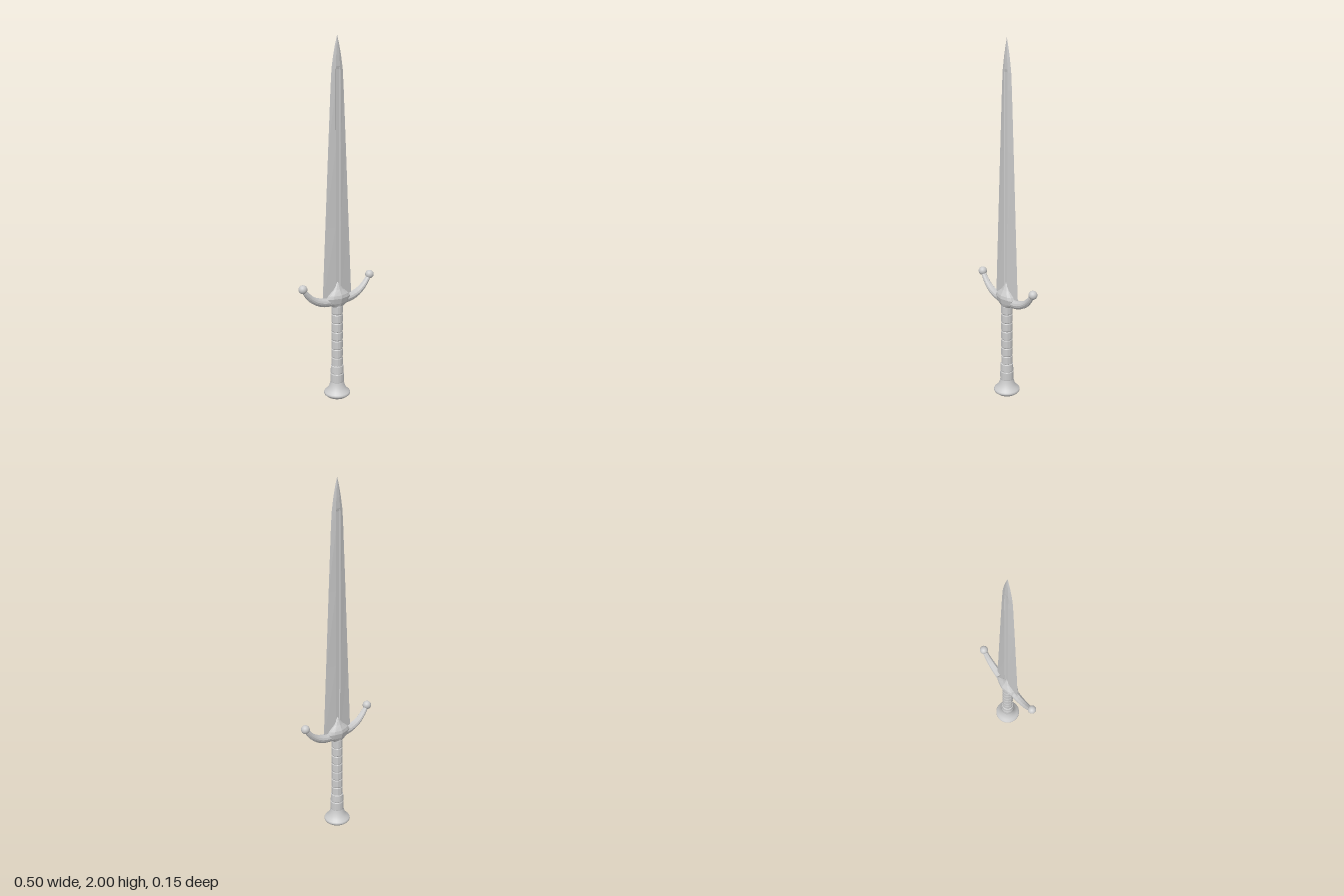
import * as THREE from 'three';

const flat = new THREE.MeshStandardMaterial({ color: 0xcccccc, flatShading: true });
const smooth = new THREE.MeshStandardMaterial({ color: 0xcccccc });

// Skin a list of equal-length rings of Vector3, closing both ends
function loft(rings) {
  const n = rings[0].length, pos = [], idx = [];
  const add = (p) => pos.push(p.x, p.y, p.z);
  rings.forEach((r) => r.forEach(add));
  for (let i = 0; i < rings.length - 1; i++) {
    for (let j = 0; j < n; j++) {
      const k = (j + 1) % n;
      const a = i * n + j, b = i * n + k, c = b + n, d = a + n;
      idx.push(a, b, c, a, c, d);
    }
  }
  [0, rings.length - 1].forEach((i) => {
    const centre = pos.length / 3;
    add(rings[i].reduce((s, p) => s.add(p), new THREE.Vector3()).divideScalar(n));
    for (let j = 0; j < n; j++) {
      const a = i * n + j, b = i * n + ((j + 1) % n);
      if (i === 0) idx.push(centre, b, a);
      else idx.push(centre, a, b);
    }
  });
  const g = new THREE.BufferGeometry();
  g.setAttribute('position', new THREE.Float32BufferAttribute(pos, 3));
  g.setIndex(idx);
  g.computeVertexNormals();
  return g;
}

// Mirror a quarter section (front centre to side point) into a full ring
function fullSection(quarter) {
  const back = quarter.slice(0, -1).reverse().map(([x, z]) => [x, -z]);
  const half = [...quarter, ...back];
  return [...half, ...half.slice(1, -1).reverse().map(([x, z]) => [-x, z])];
}

const ringAt = (y, quarter) => fullSection(quarter).map(([x, z]) => new THREE.Vector3(x, y, z));

function addMesh(parent, name, geometry, material) {
  const m = new THREE.Mesh(geometry, material);
  m.name = name;
  parent.add(m);
  return m;
}

export function createModel() {
  const dagger = new THREE.Group();
  dagger.name = 'dagger';

  // Blade: [y, half width, half thickness, groove depth]
  const blade = [
    [0.58, 0.098, 0.009, 0.004], [1.0, 0.078, 0.009, 0.004], [1.42, 0.058, 0.0085, 0.004],
    [1.74, 0.042, 0.008, 0.004], [1.83, 0.036, 0.0075, 0.003], [1.845, 0.034, 0.007, 0],
    [1.9, 0.025, 0.006, 0], [1.95, 0.014, 0.004, 0], [2.0, 0.0005, 0.0005, 0],
  ].map(([y, w, t, d]) => {
    const g = Math.min(0.015, w * 0.4);
    return ringAt(y, [[0, t - d], [g * 0.75, t - d], [g, t], [w, 0]]);
  });
  addMesh(dagger, 'blade', loft(blade), flat);

  // Guard centre: faceted block rising to a point over the blade
  const block = [
    [0.553, 0.035, 0.03], [0.575, 0.062, 0.038], [0.605, 0.072, 0.045],
    [0.622, 0.062, 0.042], [0.65, 0.03, 0.026], [0.69, 0.002, 0.008],
  ].map(([y, w, d]) => ringAt(y, [[0, d], [w * 0.68, d * 0.75], [w, d * 0.5], [w, 0]]));
  addMesh(dagger, 'guardBlock', loft(block), flat);

  // Guard arms: tapering bars that sweep up to a ball
  const path = new THREE.CatmullRomCurve3([
    [0.03, 0.585], [0.09, 0.588], [0.14, 0.604], [0.18, 0.632], [0.21, 0.667], [0.226, 0.69],
  ].map(([x, y]) => new THREE.Vector3(x, y, 0)));
  const arm = [];
  for (let i = 0; i <= 10; i++) {
    const t = i / 10, p = path.getPoint(t), d = path.getTangent(t);
    const h = 0.026 - 0.016 * t, w = 0.026 - 0.014 * t;
    arm.push(fullSection([[0, w], [h * 0.5, w * 0.85], [h, w * 0.4], [h, 0]]).map(([u, v]) =>
      new THREE.Vector3(p.x + d.y * u, p.y - d.x * u, v)));
  }
  const armGeometry = loft(arm);
  const ballGeometry = new THREE.SphereGeometry(0.024, 20, 14);
  for (const side of ['left', 'right']) {
    const half = new THREE.Group();
    half.name = side + 'GuardArm';
    addMesh(half, side + 'Bar', armGeometry, flat);
    addMesh(half, side + 'Ball', ballGeometry, smooth).position.set(0.226, 0.69, 0);
    if (side === 'right') half.rotation.y = Math.PI;
    dagger.add(half);
  }

  // Grip: stacked faceted segments with shallow grooves between
  const grip = [];
  for (let i = 0; i < 7; i++) {
    const y = 0.2 + i * 0.051;
    grip.push([0.029, y], [0.032, y + 0.005], [0.032, y + 0.046]);
  }
  grip.push([0.029, 0.56]);
  const lathe = (points, sides) =>
    new THREE.LatheGeometry(points.map(([r, y]) => new THREE.Vector2(r, y)), sides);
  addMesh(dagger, 'grip', lathe(grip, 12), flat);

  // Collar bands between grip and pommel
  addMesh(dagger, 'collar', lathe([
    [0.036, 0.1], [0.038, 0.108], [0.038, 0.152], [0.035, 0.157],
    [0.037, 0.162], [0.035, 0.2], [0.029, 0.204],
  ], 24), flat);

  // Pommel: flared foot with a shallow domed underside
  addMesh(dagger, 'pommel', lathe([
    [0, 0], [0.03, 0.007], [0.058, 0.019], [0.072, 0.031], [0.074, 0.038],
    [0.071, 0.046], [0.058, 0.056], [0.047, 0.073], [0.04, 0.092], [0.036, 0.112],
  ], 24), smooth);

  return dagger;
}
